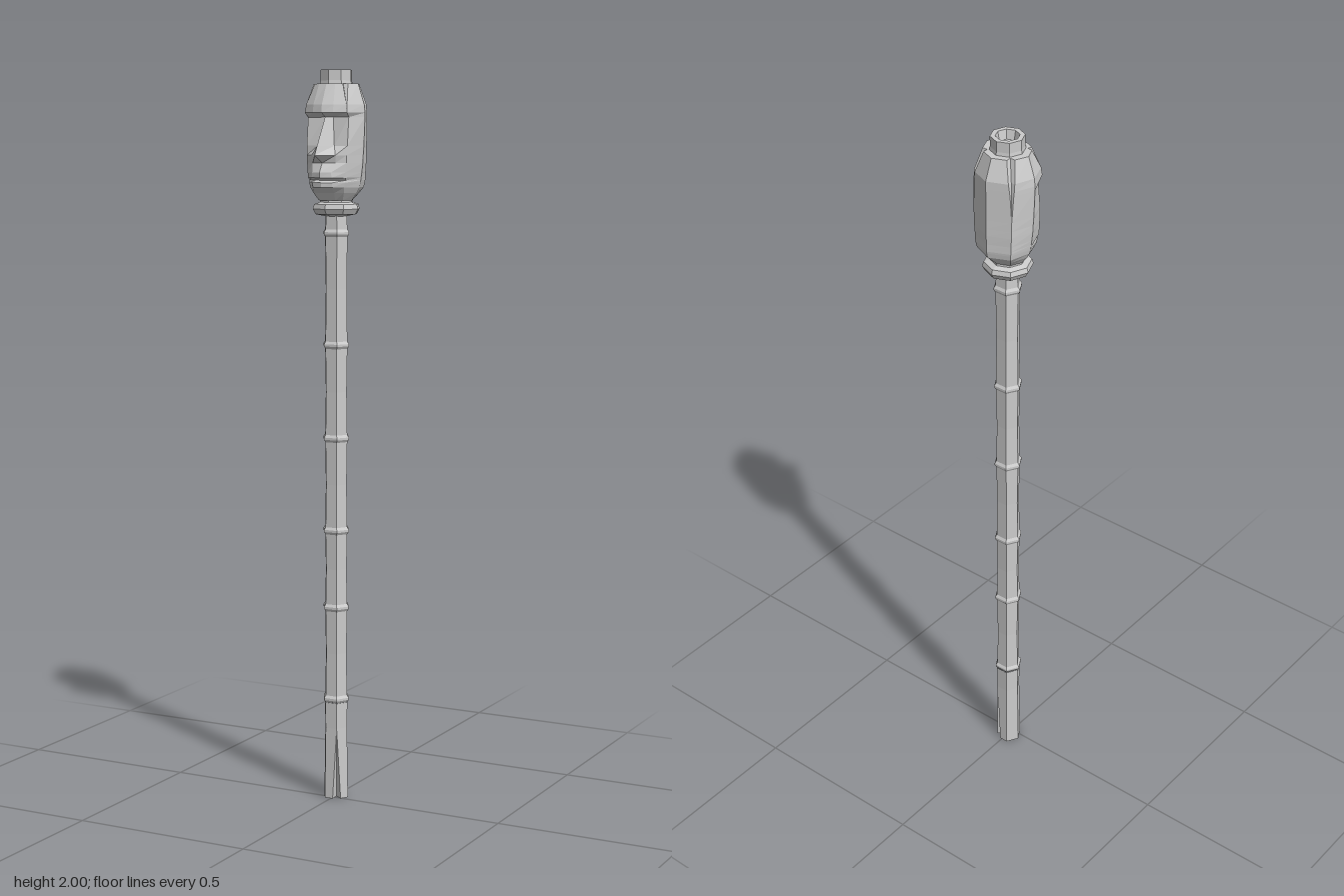
import * as THREE from 'three';

const AXIS_Z = -0.018;
const stone = new THREE.MeshStandardMaterial({ color: 0xcccccc, flatShading: true });

function part(name, geometry) {
  const mesh = new THREE.Mesh(geometry, stone);
  mesh.name = name;
  return mesh;
}

// Turned part from [radius, y] pairs, listed from bottom to top along the outside
function turned(name, profile, sides, start = 0) {
  const points = profile.map(([r, y]) => new THREE.Vector2(r, y));
  return part(name, new THREE.LatheGeometry(points, sides, start).toNonIndexed());
}

// Skin over closed rings of Vector3, listed from bottom to top
function loft(name, rings) {
  const n = rings[0].length, pos = [];
  const tri = (...v) => v.forEach(p => pos.push(p.x, p.y, p.z));
  for (let j = 0; j < rings.length - 1; j++) {
    for (let i = 0; i < n; i++) {
      const k = (i + 1) % n, lo = rings[j], hi = rings[j + 1];
      tri(lo[i], lo[k], hi[k]);
      tri(lo[i], hi[k], hi[i]);
    }
  }
  const g = new THREE.BufferGeometry();
  g.setAttribute('position', new THREE.Float32BufferAttribute(pos, 3));
  g.computeVertexNormals();
  return part(name, g);
}

const centreRing = (ring) => ring.map(p => new THREE.Vector3(0, p.y, 0));

// A corner opened into a V-shaped notch: two lips and a sunken middle
function notch(prev, corner, next, amount, width, depth) {
  const sunk = corner.clone();
  sunk.x *= 1 - depth * amount;
  sunk.z *= 1 - depth * amount;
  return [corner.clone().lerp(prev, width * amount), sunk, corner.clone().lerp(next, width * amount)];
}

// Lowest cane segment, split along two corners
function splitFoot() {
  const ring = ([y, r, split]) => {
    const at = (i) => new THREE.Vector3(Math.sin(i * Math.PI / 3 + Math.PI / 6) * r, y,
      Math.cos(i * Math.PI / 3 + Math.PI / 6) * r);
    const points = [];
    for (let i = 0; i < 6; i++) {
      if (i === 0 || i === 2) points.push(...notch(at(i - 1), at(i), at(i + 1), split, 0.35, 0.75));
      else points.push(at(i));
    }
    return points;
  };
  const rings = [[0, 0.037, 1], [0.2, 0.034, 0], [0.272, 0.035, 0]].map(ring);
  return loft('splitFoot', [centreRing(rings[0]), ...rings]);
}

// Each row: y, front z, [inner x, z], [front corner x, z], side radius, back radius, front notch, back notch
const HEAD_ROWS = [
  [1.655, 0.03, [0.02, 0.026], [0.036, 0.014], 0.047, 0.045, 0, 0],   // under the jaw
  [1.675, 0.045, [0.024, 0.04], [0.046, 0.026], 0.062, 0.066, 0, 0],
  [1.69, 0.07, [0.028, 0.062], [0.051, 0.034], 0.07, 0.081, 0, 0],    // lower lip
  [1.703, 0.07, [0.03, 0.062], [0.054, 0.035], 0.073, 0.084, 0, 0],
  [1.709, 0.052, [0.028, 0.046], [0.054, 0.032], 0.074, 0.085, 0, 0], // mouth
  [1.716, 0.078, [0.03, 0.066], [0.056, 0.037], 0.075, 0.085, 0, 0],  // upper lip
  [1.73, 0.078, [0.028, 0.066], [0.057, 0.038], 0.077, 0.085, 0, 0],
  [1.755, 0.062, [0.034, 0.052], [0.059, 0.037], 0.08, 0.086, 0, 0],
  [1.775, 0.104, [0.036, 0.056], [0.06, 0.037], 0.081, 0.086, 0, 0],  // nose tip
  [1.80, 0.091, [0.025, 0.041], [0.061, 0.035], 0.083, 0.086, 0, 0],
  [1.875, 0.046, [0.012, 0.022], [0.061, 0.027], 0.086, 0.086, 0, 0.35], // eye sockets
  [1.887, 0.067, [0.03, 0.059], [0.063, 0.041], 0.086, 0.086, 0, 0.45], // brow
  [1.908, 0.064, [0.03, 0.055], [0.061, 0.039], 0.084, 0.086, 0.1, 0.6],
  [1.963, 0.038, [0.024, 0.034], [0.047, 0.022], 0.066, 0.064, 1, 1]  // crown
];

function headRing([y, frontZ, inner, cornerF, side, back, frontCut, backCut]) {
  const v = (x, z) => new THREE.Vector3(x, y, z);
  const front = v(0, frontZ - AXIS_Z);
  const nose = v(inner[0], inner[1] - AXIS_Z);
  const corner = v(cornerF[0], cornerF[1] - AXIS_Z);
  const temple = v(side, 0);
  const rear = v((side + back) * 0.36, -back * 0.7);
  const spine = v(0, -back);
  const half = [nose, ...notch(nose, corner, temple, frontCut, 0.22, 0.2), temple,
    ...notch(temple, rear, spine, backCut, 0.22, 0.22)];
  const mirrored = half.map(p => v(-p.x, p.z)).reverse();
  return [front, ...half, spine, ...mirrored];
}

export function createModel() {
  const model = new THREE.Group();
  model.name = 'carvedStaff';
  const body = new THREE.Group();
  body.name = 'staffBody';
  body.position.z = AXIS_Z;
  model.add(body);

  // Six-sided cane with a raised ring at each joint
  const joints = [0.282, 0.54, 0.755, 1.01, 1.265, 1.567];
  const profile = [];
  joints.forEach((y, i) => {
    profile.push([0.034, y - 0.01], [0.039, y - 0.003], [0.039, y + 0.003], [0.034, y + 0.01]);
    if (i < joints.length - 1) profile.push([0.032, (y + joints[i + 1]) / 2]);
  });
  profile.push([0.031, 1.63]);
  body.add(splitFoot(), turned('cane', profile, 6, Math.PI / 2));

  // Collar under the head
  body.add(turned('collar', [[0.028, 1.612], [0.058, 1.618], [0.066, 1.632], [0.062, 1.645],
    [0.046, 1.65], [0.044, 1.668]], 8));

  // Carved head, closed at both ends
  const rings = HEAD_ROWS.map(headRing);
  body.add(loft('carvedHead', [centreRing(rings[0]), ...rings, centreRing(rings[rings.length - 1])]));

  // Hollow socket on top
  body.add(turned('topSocket', [[0.047, 1.955], [0.044, 1.972], [0.044, 2.0], [0.031, 2.0],
    [0.026, 1.975], [0, 1.975]], 8));

  return model;
}
